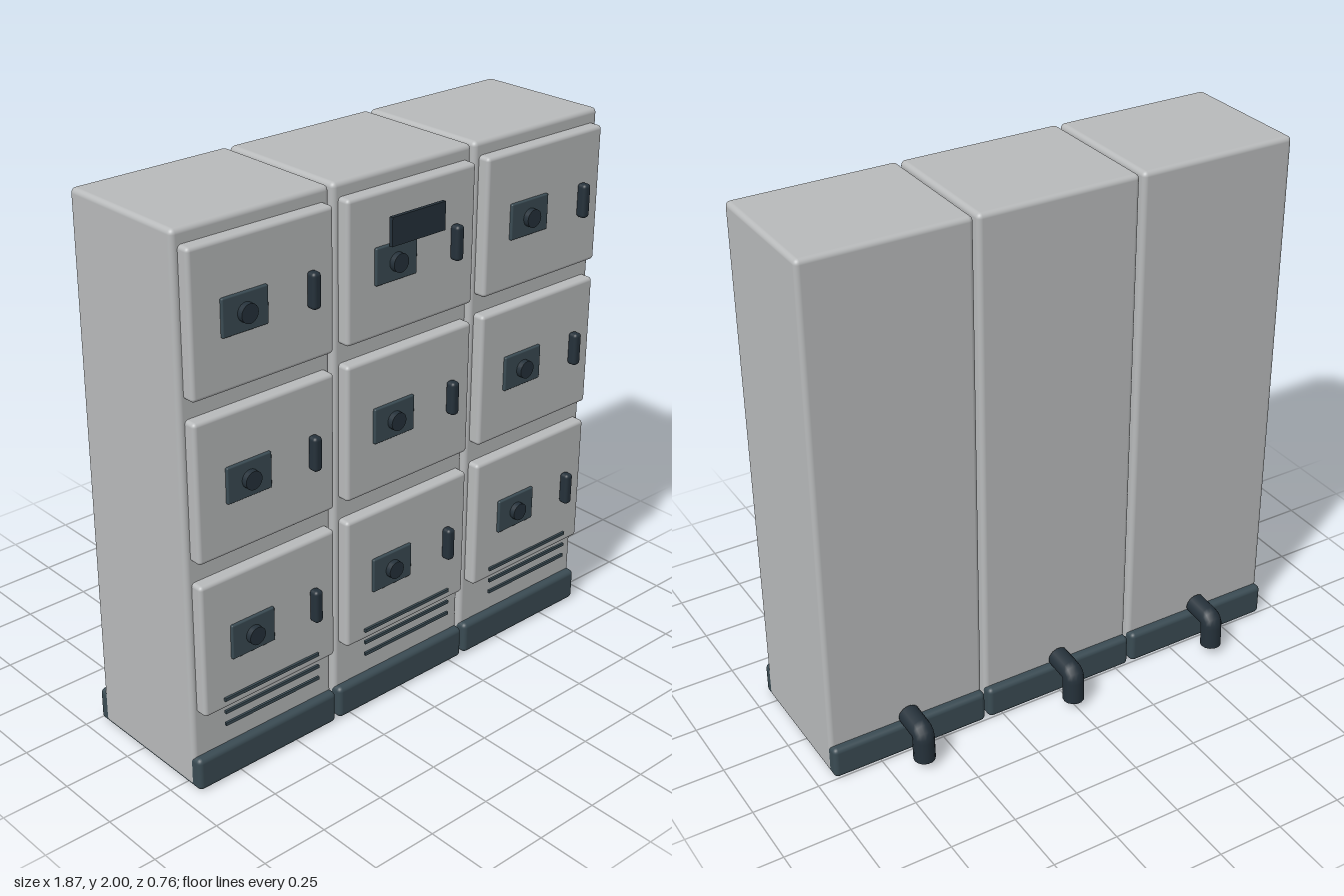
import * as THREE from 'three';
import { RoundedBoxGeometry } from 'three/addons/geometries/RoundedBoxGeometry.js';

function material(name, color, side = THREE.FrontSide) {
  const m = new THREE.MeshStandardMaterial({ color, side });
  m.name = name;
  return m;
}

export function createModel() {
  const grey = material('cabinet grey', 0xb8babb);
  const slate = material('slate', 0x3a4b53);
  const dark = material('dark slate', 0x25313a, THREE.DoubleSide);

  function add(parent, name, geometry, mat, x, y, z) {
    const mesh = new THREE.Mesh(geometry, mat);
    mesh.name = name;
    mesh.position.set(x, y, z);
    parent.add(mesh);
    return mesh;
  }

  // Shared geometries
  const bodyGeo = new RoundedBoxGeometry(0.614, 1.996, 0.52, 3, 0.018);
  const baseGeo = new RoundedBoxGeometry(0.612, 0.125, 0.58, 3, 0.018);
  const doorGeo = new RoundedBoxGeometry(0.57, 0.5, 0.06, 3, 0.014);
  const plateGeo = new RoundedBoxGeometry(0.18, 0.13, 0.02, 2, 0.005);
  const knobGeo = new THREE.CylinderGeometry(0.033, 0.033, 0.03, 20).rotateX(Math.PI / 2);
  const handleGeo = new RoundedBoxGeometry(0.035, 0.125, 0.04, 3, 0.013);
  const ventGeo = new THREE.BoxGeometry(0.41, 0.012, 0.009);

  // Pipe leaving the back and turning down
  const pipePath = new THREE.CurvePath();
  const p = (y, z) => new THREE.Vector3(0, y, z);
  pipePath.add(new THREE.LineCurve3(p(0.15, -0.23), p(0.143, -0.315)));
  pipePath.add(new THREE.QuadraticBezierCurve3(p(0.143, -0.315), p(0.14, -0.335), p(0.12, -0.337)));
  pipePath.add(new THREE.LineCurve3(p(0.12, -0.337), p(0.03, -0.34)));
  const pipeGeo = new THREE.TubeGeometry(pipePath, 20, 0.04, 14);
  const pipeCapGeo = new THREE.CircleGeometry(0.04, 14).rotateX(Math.PI / 2);

  const model = new THREE.Group();
  model.name = 'lockerBank';

  [-0.627, 0, 0.627].forEach((cx) => {
    const cabinet = new THREE.Group();
    cabinet.name = 'cabinet';
    cabinet.position.x = cx;
    model.add(cabinet);

    add(cabinet, 'body', bodyGeo, grey, 0, 1.002, 0.04);
    add(cabinet, 'base', baseGeo, slate, 0, 0.0625, 0.04);

    // Three doors, each with lock plate, knob and handle
    [0.55, 1.13, 1.7].forEach((y) => {
      add(cabinet, 'door', doorGeo, grey, 0, y, 0.315);
      add(cabinet, 'lockPlate', plateGeo, slate, -0.08, y, 0.346);
      add(cabinet, 'lockKnob', knobGeo, dark, -0.08, y, 0.362);
      add(cabinet, 'handle', handleGeo, dark, 0.187, y, 0.362);
    });

    // Vent slats
    [0.243, 0.291, 0.34].forEach((y) => add(cabinet, 'vent', ventGeo, slate, 0, y, 0.349));

    add(cabinet, 'pipe', pipeGeo, dark, 0, 0, 0);
    add(cabinet, 'pipeEnd', pipeCapGeo, dark, 0, 0.031, -0.34);
  });

  // Sign on the middle cabinet
  add(model, 'sign', new THREE.BoxGeometry(0.237, 0.1, 0.014), dark, -0.002, 1.814, 0.368);

  model.position.z = -0.001;
  return model;
}
